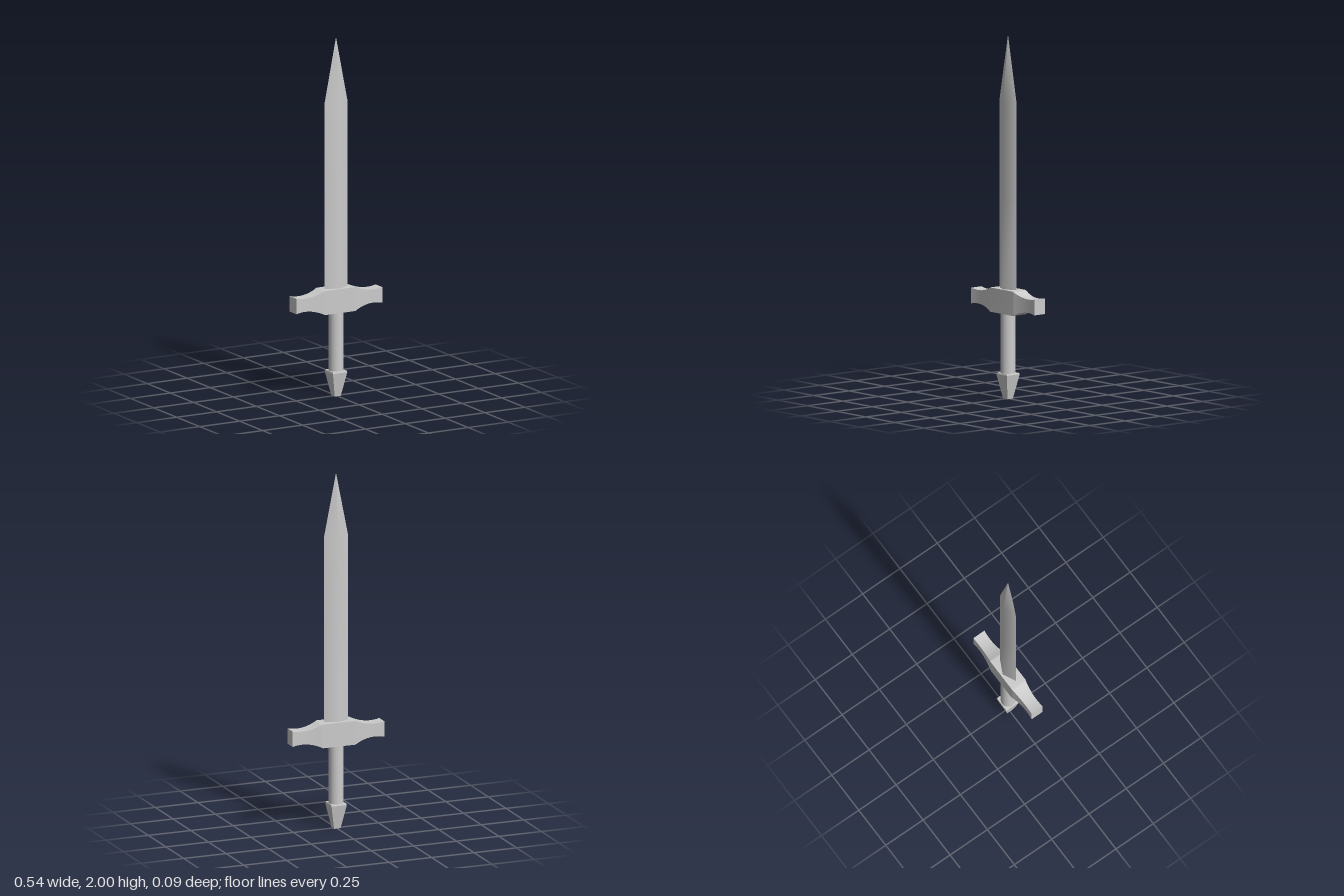
import * as THREE from 'three';
import { mergeGeometries } from 'three/addons/utils/BufferGeometryUtils.js';

const grey = new THREE.MeshStandardMaterial({ color: 0xcccccc });
const greyFlat = new THREE.MeshStandardMaterial({ color: 0xcccccc, flatShading: true });

function add(group, name, geometry, y = 0, material = grey) {
  const mesh = new THREE.Mesh(geometry, material);
  mesh.name = name;
  mesh.position.y = y;
  group.add(mesh);
  return mesh;
}

// Diamond-section blade: each half is a sheet folded softly along its ridge,
// with sharp cutting edges where the halves meet.
function bladeGeometry() {
  // rows from tip down: height, half width, half thickness
  const rows = [[2, 0.0005, 0.0003], [1.64, 0.072, 0.034], [1.1, 0.072, 0.035], [0.56, 0.072, 0.036]];
  const front = new THREE.PlaneGeometry(1, 1, 2, rows.length - 1);
  const p = front.attributes.position;
  for (let i = 0; i < p.count; i++) {
    const [y, w, d] = rows[Math.floor(i / 3)];
    const side = (i % 3) - 1;
    p.setXYZ(i, side * w, y, side === 0 ? d : 0);
  }
  front.computeVertexNormals();
  return mergeGeometries([front, front.clone().rotateY(Math.PI)]);
}

// Crossguard: a bar with a straight middle block and concave, slightly flared arms.
function guardGeometry() {
  const half = 0.27, mid = 0.095, steps = 12;
  const g = new THREE.BoxGeometry(2, 2, 2, steps * 2 + 1, 1, 1);
  const p = g.attributes.position;
  for (let i = 0; i < p.count; i++) {
    // segment boundaries: steps per arm, one for the middle block
    const k = Math.round((p.getX(i) + 1) / 2 * (steps * 2 + 1));
    const x = k <= steps ? -half + (half - mid) * k / steps
      : mid + (half - mid) * (k - steps - 1) / steps;
    const t = (Math.abs(x) - 0.215) / 0.12;
    p.setXYZ(i, x, p.getY(i) * (0.037 + 0.030 * t * t), p.getZ(i) * (0.0345 + 0.0125 * t * t));
  }
  g.computeVertexNormals();
  return g;
}

export function createModel() {
  const sword = new THREE.Group();
  sword.name = 'sword';

  add(sword, 'blade', bladeGeometry());
  add(sword, 'crossguard', guardGeometry(), 0.537);
  add(sword, 'grip', new THREE.CylinderGeometry(0.04, 0.04, 0.38, 32), 0.31);

  // Square pommel tapering downwards, with a thin bevel round its top
  const r = Math.SQRT2;
  const taper = new THREE.CylinderGeometry(0.045 * r, 0.019 * r, 0.134, 4).rotateY(Math.PI / 4);
  const bevel = new THREE.CylinderGeometry(0.043 * r, 0.045 * r, 0.008, 4).rotateY(Math.PI / 4);
  add(sword, 'pommel', taper, 0.067, greyFlat);
  add(sword, 'pommelTop', bevel, 0.138, greyFlat);

  return sword;
}
